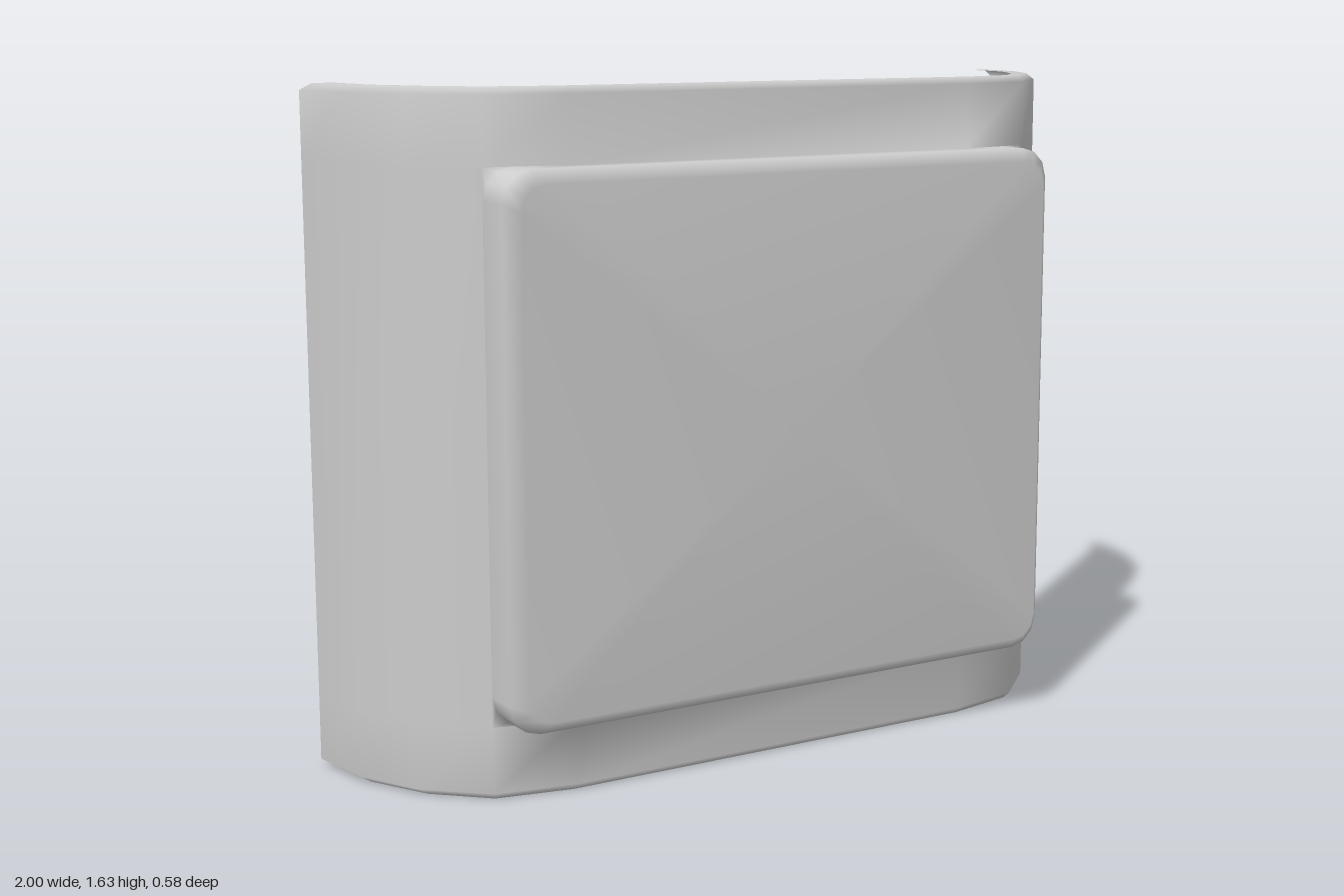
import * as THREE from 'three';
import { mergeVertices } from 'three/addons/utils/BufferGeometryUtils.js';

// Half of the bent plan section [x, z], from side end to front, and its inner lip edge
const OUTER = [[1, -0.29], [0.97, -0.12], [0.89, 0.035], [0.755, 0.158], [0.55, 0.197]];
const INNER = [[0.92, -0.268], [0.9, -0.11], [0.82, 0.03], [0.73, 0.123], [0.58, 0.157]];
const mirrored = (half) => [...half.map(([x, z]) => [-x, z]), ...half.slice().reverse()];

const PAD = { w: 0.755, bottom: 0.175, top: 1.46, r: 0.075 };

// Depth of the front sheet at x
function sheetZ(x) {
  const [[xa, za], [xb, zb]] = [OUTER[3], OUTER[4]];
  const t = THREE.MathUtils.clamp((Math.abs(x) - xb) / (xa - xb), 0, 1);
  return zb + (za - zb) * t;
}

// Rounded outline of the raised panel; square = true collapses the corners to a rectangle
function outline(inset, square, zAt) {
  const w = PAD.w - inset, lo = PAD.bottom + inset, hi = PAD.top - inset;
  const r = square ? 0 : PAD.r - inset * 0.5;
  const pts = [];
  const add = (x, y) => pts.push([x, y, zAt(x)]);
  const corner = (sx, sy, start) => {
    for (let k = 0; k <= 3; k++) {
      const a = start + (k / 3) * Math.PI / 2;
      add(sx * (w - r) + r * Math.cos(a), (sy > 0 ? hi - r : lo + r) + r * Math.sin(a));
    }
  };
  corner(1, -1, -Math.PI / 2);
  corner(1, 1, 0);
  add(0.55, hi);
  add(-0.55, hi);
  corner(-1, 1, Math.PI / 2);
  corner(-1, -1, Math.PI);
  add(-0.55, lo);
  add(0.55, lo);
  return pts;
}

function shellGeometry() {
  const pos = [];
  const tri = (a, b, c) => pos.push(...a, ...b, ...c);
  const quad = (a, b, c, d) => { tri(a, b, c); tri(a, c, d); };

  // Bent sheet with lips turned inward along the top and bottom: rows are [y, lip fraction]
  const rows = [[0, 1], [0, 0.35], [0.016, 0], [PAD.bottom, 0], [PAD.top, 0], [1.619, 0], [1.635, 0.35], [1.635, 1]];
  const outer = mirrored(OUTER), inner = mirrored(INNER);
  const point = (c, r) => {
    const [y, t] = rows[r];
    const [x0, z0] = outer[c], [x1, z1] = inner[c];
    return [x0 + (x1 - x0) * t, y, z0 + (z1 - z0) * t];
  };
  for (let c = 0; c < outer.length - 1; c++) {
    for (let r = 0; r < rows.length - 1; r++) {
      if (r === 3 && c >= 3 && c <= 5) continue; // opening behind the raised panel
      quad(point(c, r), point(c + 1, r), point(c + 1, r + 1), point(c, r + 1));
    }
  }

  // Hollow raised panel: corner fill, side wall, bevel, front face
  const rings = [
    outline(0, true, sheetZ),
    outline(0, false, sheetZ),
    outline(0, false, () => 0.255),
    outline(0.032, false, () => 0.288),
  ];
  const n = rings[0].length;
  for (let k = 0; k < rings.length - 1; k++) {
    for (let i = 0; i < n; i++) {
      const j = (i + 1) % n;
      quad(rings[k][i], rings[k][j], rings[k + 1][j], rings[k + 1][i]);
    }
  }
  const face = rings[3], middle = [0, (PAD.bottom + PAD.top) / 2, 0.288];
  face.forEach((p, i) => tri(p, face[(i + 1) % n], middle));

  const raw = new THREE.BufferGeometry();
  raw.setAttribute('position', new THREE.Float32BufferAttribute(pos, 3));
  const geometry = mergeVertices(raw, 1e-4);
  geometry.computeVertexNormals();
  return geometry;
}

export function createModel() {
  const group = new THREE.Group();
  group.name = 'curvedCover';
  const material = new THREE.MeshStandardMaterial({ color: 0xcccccc, side: THREE.DoubleSide });
  const shell = new THREE.Mesh(shellGeometry(), material);
  shell.name = 'embossedShell';
  group.add(shell);
  return group;
}
